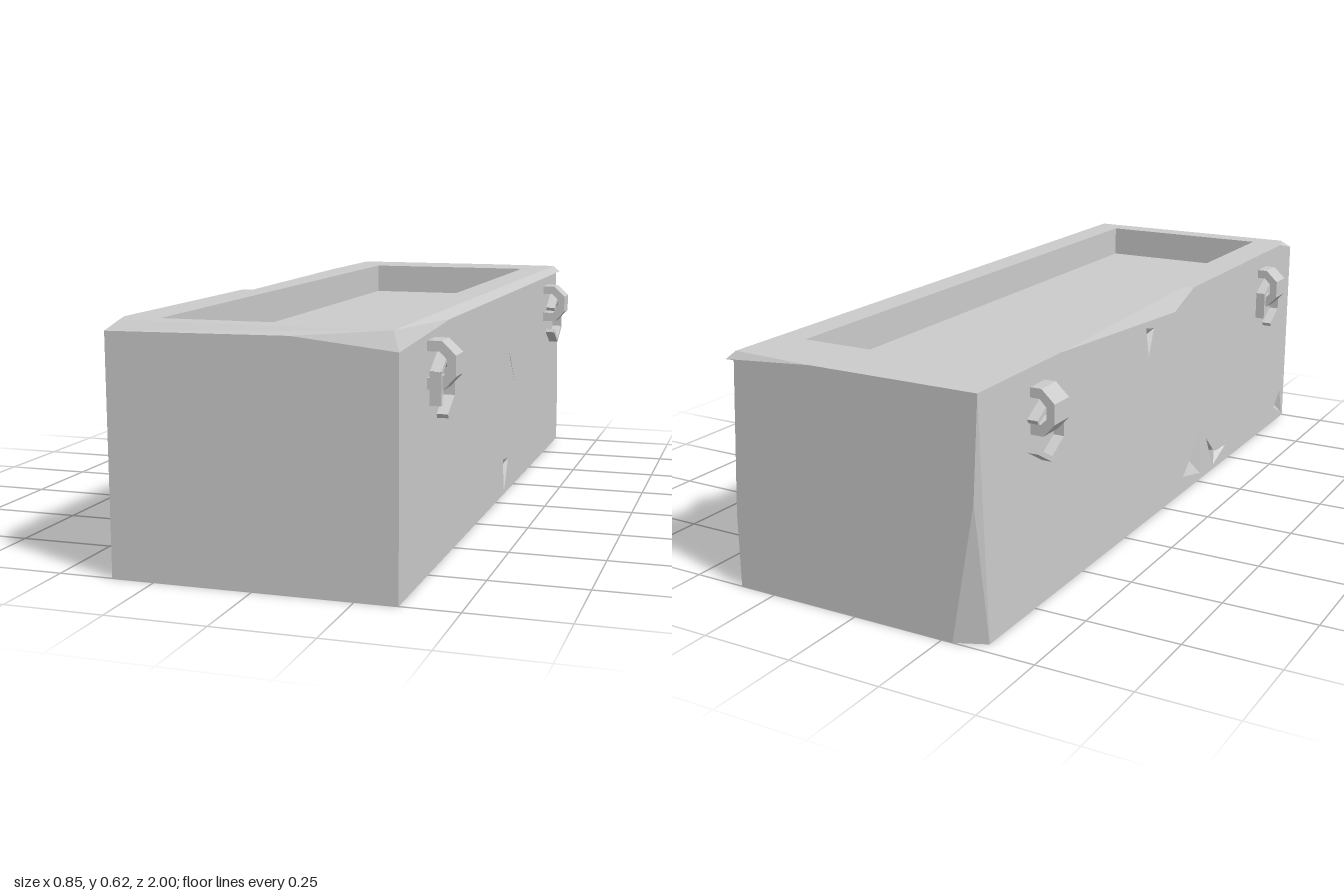
import * as THREE from 'three';

const stone = new THREE.MeshStandardMaterial({ color: 0xcccccc, flatShading: true, side: THREE.DoubleSide });

// Adds a flat polygon (with holes) to a triangle list, wound to face along "out".
function poly(list, out, pts, holes = []) {
  const v = (p) => new THREE.Vector3(...p);
  const n = new THREE.Vector3();
  pts.forEach((p, i) => n.add(v(p).cross(v(pts[(i + 1) % pts.length]))));
  const a = [Math.abs(n.x), Math.abs(n.y), Math.abs(n.z)];
  const drop = a.indexOf(Math.max(...a));
  const flat = (ps) => ps.map((p) => new THREE.Vector2(p[(drop + 1) % 3], p[(drop + 2) % 3]));
  const ring = [...pts], cuts = holes.map((h) => [...h]);
  if (THREE.ShapeUtils.isClockWise(flat(ring))) ring.reverse();
  cuts.forEach((h) => { if (!THREE.ShapeUtils.isClockWise(flat(h))) h.reverse(); });
  const all = [...ring, ...cuts.flat()];
  for (const f of THREE.ShapeUtils.triangulateShape(flat(ring), cuts.map(flat))) {
    const [p, q, r] = f.map((i) => all[i]);
    const normal = v(q).sub(v(p)).cross(v(r).sub(v(p)));
    list.push(...(normal.dot(v(out)) >= 0 ? [p, q, r] : [p, r, q]));
  }
}

function toMesh(list, name) {
  const g = new THREE.BufferGeometry();
  g.setAttribute('position', new THREE.Float32BufferAttribute(list.flat(), 3));
  g.computeVertexNormals();
  const mesh = new THREE.Mesh(g, stone);
  mesh.name = name;
  return mesh;
}

// Side wall at constant x with triangular chips dug into it; points are [z, y].
function sideWall(list, x, outline, chips) {
  const s = Math.sign(x), at = ([z, y]) => [x, y, z];
  poly(list, [s, 0, 0], outline.map(at), chips.map((c) => c.map(at)));
  for (const c of chips) {
    const mid = [0, 1].map((k) => (c[0][k] + c[1][k] + c[2][k]) / 3);
    const apex = [x - s * 0.02, mid[1], mid[0]];
    c.forEach((p, i) => poly(list, [s, 0, 0], [at(p), at(c[(i + 1) % 3]), apex]));
  }
}

function makeTrough() {
  const L = -0.36, R = 0.355, T = 0.62, t = [];

  // base and front wall
  poly(t, [0, -1, 0], [[L, 0, 1], [R, 0, 1], [R, 0, -1], [-0.28, 0, -1], [L, 0, -0.965]]);
  poly(t, [0, 0, 1], [[L, 0, 1], [R, 0, 1], [R, 0.575, 1], [0.1, 0.602, 1], [L, 0.597, 1]]);

  // worn front and right rim edges
  const frontRight = [0.335, T, 0.975], frontLeft = [-0.335, T, 0.975], backRight = [0.335, T, -0.985];
  poly(t, [0, 1, 1], [[L, 0.597, 1], [0.1, 0.602, 1], frontRight, frontLeft]);
  poly(t, [0, 1, 1], [[0.1, 0.602, 1], [R, 0.575, 1], frontRight]);
  poly(t, [-1, 1, 1], [[L, 0.597, 1], frontLeft, [L, T, 0.9]]);
  poly(t, [1, 1, 0], [[R, 0.575, 1], [R, 0.6, 0.55], frontRight]);
  poly(t, [1, 1, 0], [[R, 0.6, 0.55], [R, 0.6, -1], backRight, frontRight]);
  poly(t, [0, 1, -1], [[R, 0.6, -1], backRight, [0.1, T, -1]]);

  // right wall
  sideWall(t, R, [[1, 0], [1, 0.575], [0.55, 0.6], [-0.93, 0.6], [-1, 0.2], [-1, 0]], [
    [[-0.09, 0.11], [-0.165, 0.1], [-0.113, 0.005]],
    [[-0.2, 0.155], [-0.175, 0.105], [-0.18, 0.122]],
    [[-0.165, 0.42], [-0.255, 0.31], [-0.17, 0.408]],
  ]);

  // left wall
  sideWall(t, L, [[1, 0], [1, 0.597], [0.9, T], [0.18, T], [0.05, 0.575], [-0.62, T], [-1, T], [-0.965, 0]], [
    [[-0.14, 0.57], [-0.09, 0.56], [-0.12, 0.485]],
    [[0.14, 0.05], [0.26, 0.15], [0.27, 0.02]],
    [[0.31, 0.12], [0.37, 0.01], [0.37, 0.065]],
    [[0.375, 0.06], [0.375, 0.015], [0.47, 0.05]],
    [[0.91, 0.05], [0.96, 0.1], [0.99, 0.01]],
  ]);

  // broken piece along the left rim
  poly(t, [-1, 1, 0], [[L, T, -0.62], [-0.33, T, 0.17], [L, 0.575, 0.05]]);
  poly(t, [-1, 1, -1], [[-0.33, T, 0.17], [L, T, 0.18], [L, 0.575, 0.05]]);

  // back wall and its two broken corners
  poly(t, [0, 0, -1], [[R, 0, -1], [R, 0.2, -1], [0.33, 0.6, -1], [R, 0.6, -1], [0.1, T, -1],
    [L, T, -1], [-0.345, 0.36, -1], [-0.28, 0, -1]]);
  poly(t, [1, 0, -1], [[R, 0.6, -0.93], [R, 0.2, -1], [0.33, 0.6, -1]]);
  poly(t, [0, -1, 0], [[R, 0.6, -0.93], [R, 0.6, -1], [0.33, 0.6, -1]]);
  poly(t, [-1, 0, -1], [[L, T, -1], [-0.345, 0.36, -1], [L, 0, -0.965]]);
  poly(t, [-1, 0, -1], [[-0.345, 0.36, -1], [-0.28, 0, -1], [L, 0, -0.965]]);

  // rim top, recess walls and recess floor
  const corners = [[-0.26, -0.82], [0.255, -0.82], [0.255, 0.91], [-0.26, 0.91]];
  const level = (y) => corners.map(([x, z]) => [x, y, z]);
  const upper = level(T), lower = level(0.53);
  poly(t, [0, 1, 0], [frontLeft, frontRight, backRight, [0.1, T, -1], [L, T, -1], [L, T, -0.62],
    [-0.33, T, 0.17], [L, T, 0.18], [L, T, 0.9]], [upper]);
  const inward = [[0, 0, 1], [-1, 0, 0], [0, 0, -1], [1, 0, 0]];
  inward.forEach((n, i) => {
    const j = (i + 1) % 4;
    poly(t, n, [upper[i], upper[j], lower[j], lower[i]]);
  });
  poly(t, [0, 1, 0], lower);
  return toMesh(t, 'trough');
}

// Strap on the right wall with a hanging hexagonal ring that has one bar broken away.
function makeHandle(missingBar) {
  const handle = new THREE.Group();
  const path = (pts) => pts.map((p) => new THREE.Vector2(...p));
  const shape = new THREE.Shape(path([[0.35, 0.457], [0.395, 0.457], [0.425, 0.49], [0.425, 0.54], [0.39, 0.573], [0.35, 0.573]]));
  shape.holes.push(new THREE.Path(path([[0.352, 0.485], [0.352, 0.548], [0.385, 0.548], [0.403, 0.53], [0.403, 0.5], [0.388, 0.485]])));
  const strapGeo = new THREE.ExtrudeGeometry(shape, { depth: 0.07, bevelEnabled: false });
  strapGeo.translate(0, 0, -0.035);
  const strap = new THREE.Mesh(strapGeo, stone);
  strap.name = 'strap';
  handle.add(strap);

  const ring = new THREE.Group();
  ring.name = 'ring';
  ring.position.set(0.385, 0.465, 0);
  for (let i = 0; i < 6; i++) {
    if (i === missingBar) continue;
    const a = (i * Math.PI) / 3;
    const bar = new THREE.Mesh(new THREE.BoxGeometry(0.028, 0.08, 0.012), stone);
    bar.position.set(0, -Math.sin(a) * 0.064, Math.cos(a) * 0.064);
    bar.rotation.x = a;
    bar.name = 'ringBar';
    ring.add(bar);
  }
  handle.add(ring);
  return handle;
}

export function createModel() {
  const model = new THREE.Group();
  model.name = 'stoneTrough';
  model.add(makeTrough());
  for (const side of [1, -1]) {
    for (const end of [1, -1]) {
      const handle = makeHandle(end > 0 ? 1 : 0);
      handle.name = (side > 0 ? 'left' : 'right') + (end > 0 ? 'Front' : 'Back') + 'Handle';
      // a half turn carries the handle to the opposite wall
      if (side < 0) handle.rotation.y = Math.PI;
      handle.position.z = 0.735 * end;
      model.add(handle);
    }
  }
  return model;
}
